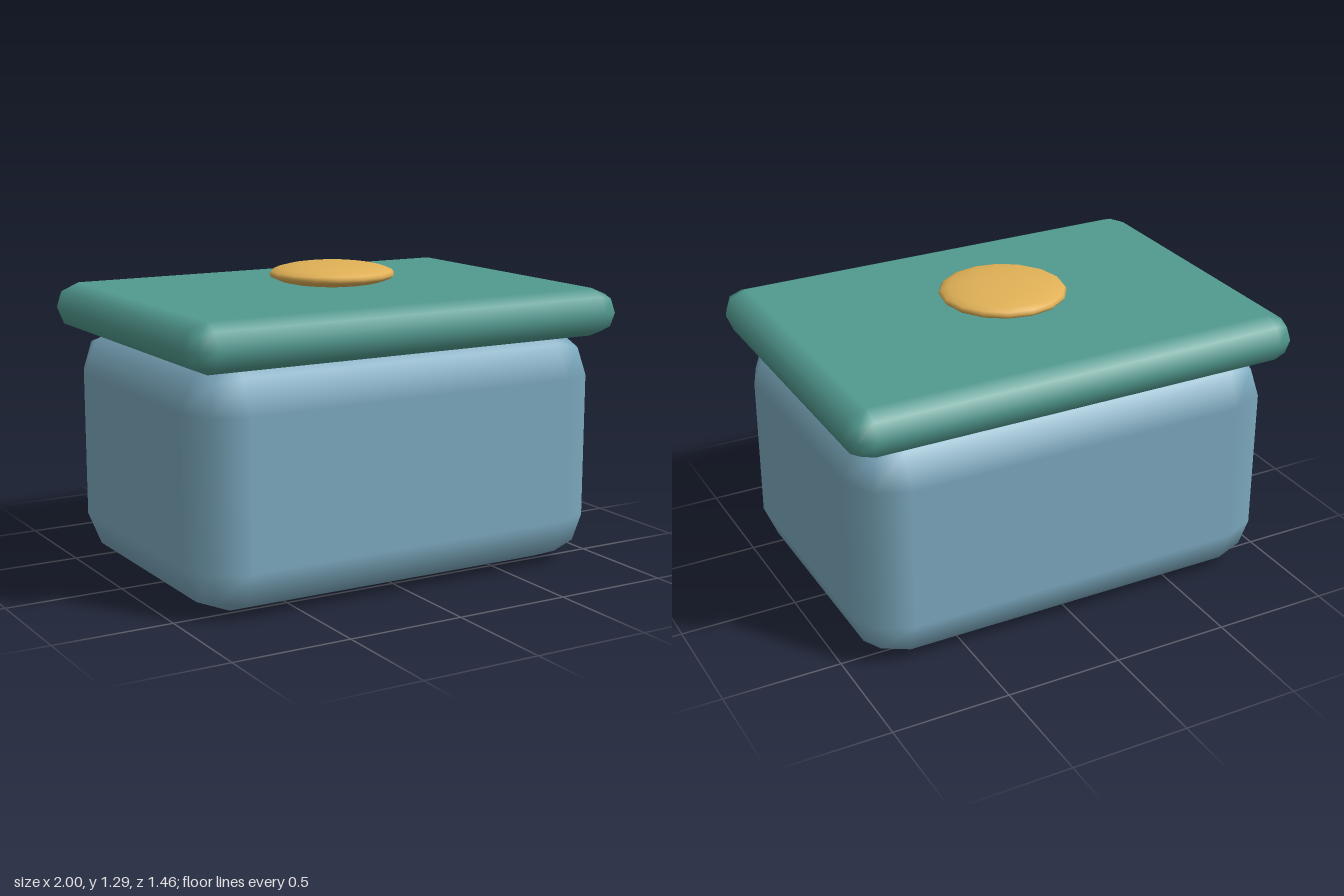
import * as THREE from 'three';
import { RoundedBoxGeometry } from 'three/addons/geometries/RoundedBoxGeometry.js';

const material = (name, color) => {
  const m = new THREE.MeshStandardMaterial({ color });
  m.name = name;
  return m;
};

export function createModel() {
  const group = new THREE.Group();
  group.name = 'lidded box';

  const add = (name, geometry, mat, y) => {
    const mesh = new THREE.Mesh(geometry, mat);
    mesh.name = name;
    mesh.position.y = y;
    group.add(mesh);
    return mesh;
  };

  // Body, its top edge tucked slightly into the lid
  add('body', new RoundedBoxGeometry(1.894, 1.02, 1.355, 1, 0.203), material('dusty blue', 0x7ba8bd), 0.51);

  // Overhanging lid with fully rounded rim
  add('lid', new RoundedBoxGeometry(2, 0.203, 1.455, 1, 0.1015), material('teal green', 0x529a8f), 1.087);

  // Flattened round knob resting on the lid
  const knob = add('knob', new THREE.SphereGeometry(0.268, 16, 12), material('golden yellow', 0xe0b056), 1.24);
  knob.scale.y = 0.05 / 0.268;

  return group;
}
